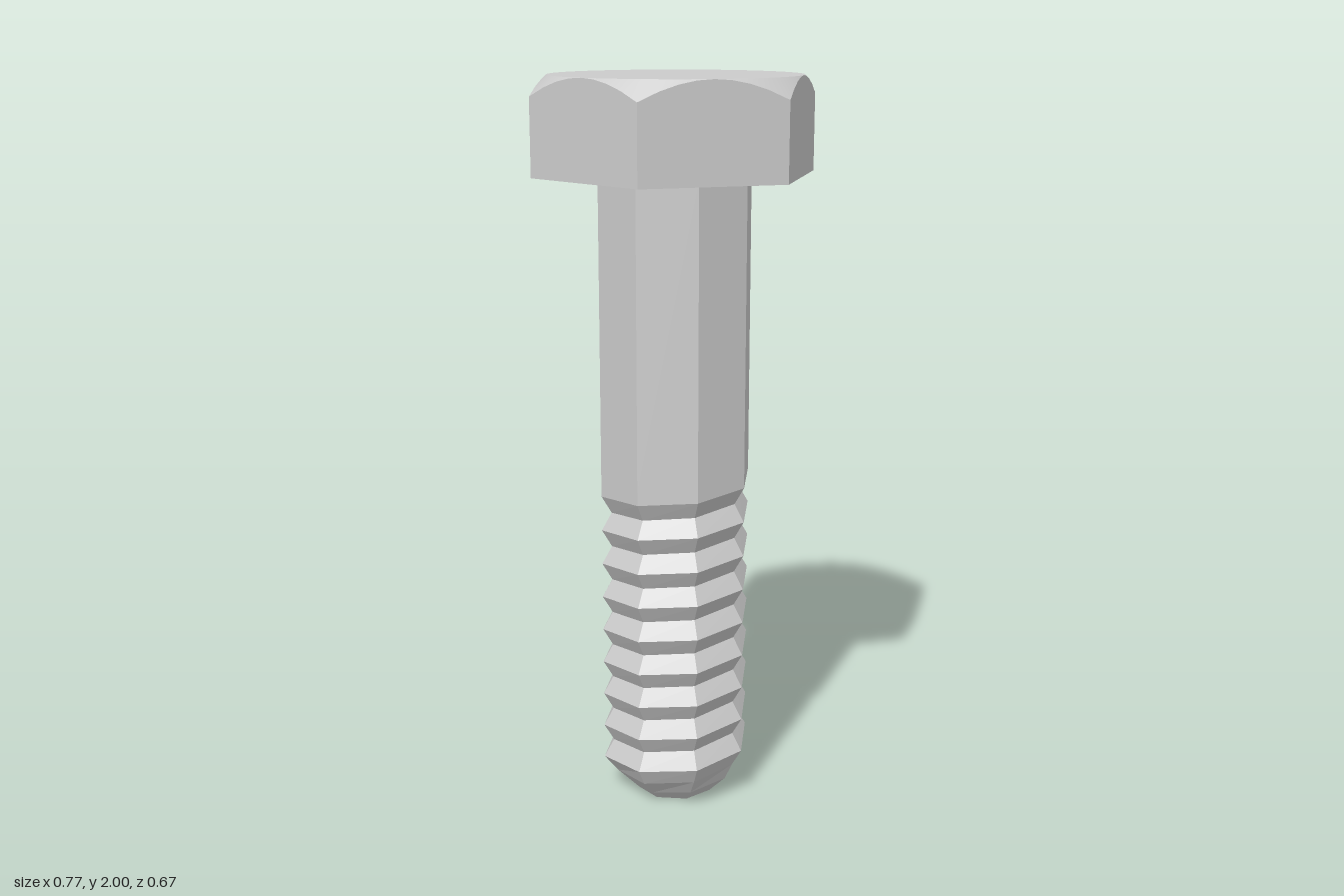
import * as THREE from 'three';
import { toCreasedNormals } from 'three/addons/utils/BufferGeometryUtils.js';

const SIDES = 8;        // shank facets
const R = 0.21;         // shank and crest radius
const ROOT = 0.182;     // thread root radius
const PITCH = 0.0965;
const TIP = 0.11;       // radius of the flat tip
const THREAD_TOP = 0.89;
const HEAD_Y = 1.745;
const FLAT = 0.333;     // half the width across the flats

// Grid of quads from point(col, row); collapsed triangles are skipped
function surface(cols, rows, point) {
  const pos = [];
  const tri = (a, b, c) => {
    const n = b.clone().sub(a).cross(c.clone().sub(a));
    if (n.length() > 1e-8) for (const p of [a, b, c]) pos.push(p.x, p.y, p.z);
  };
  for (let i = 0; i < cols; i++) {
    for (let j = 0; j < rows; j++) {
      const a = point(i, j), b = point(i + 1, j);
      const c = point(i + 1, j + 1), d = point(i, j + 1);
      tri(a, b, c);
      tri(a, c, d);
    }
  }
  const geo = new THREE.BufferGeometry();
  geo.setAttribute('position', new THREE.Float32BufferAttribute(pos, 3));
  geo.computeVertexNormals();
  return geo;
}

// Angle runs from -x through the front (+z) to +x
const polar = (angle, r, y) =>
  new THREE.Vector3(-r * Math.cos(angle), y, r * Math.sin(angle));

export function createModel() {
  const group = new THREE.Group();
  const flat = new THREE.MeshStandardMaterial({ color: 0xcccccc, flatShading: true });
  const smooth = new THREE.MeshStandardMaterial({ color: 0xcccccc });
  const add = (name, geo, mat) => {
    const mesh = new THREE.Mesh(geo, mat);
    mesh.name = name;
    group.add(mesh);
    return mesh;
  };

  // Helical thread: rows alternate crest and root, climbing one pitch per turn.
  // The lower end is cut by the tip's cone, the upper end runs out into the shank.
  const runout = THREAD_TOP + 0.04;
  add('thread', surface(SIDES, 26, (k, j) => {
    const y = THREE.MathUtils.clamp(TIP + (j / 2 - 3 + k / SIDES) * PITCH, 0, runout);
    const r = y > THREAD_TOP || j % 2 === 0 ? R : ROOT;
    return polar(k / SIDES * Math.PI * 2, Math.min(r, TIP + y), y);
  }), flat);

  // Plain shank
  add('shank', surface(SIDES, 1, (k, j) =>
    polar(k / SIDES * Math.PI * 2, R, j ? HEAD_Y : runout)), flat);

  // Flat end of the tip
  add('tip', new THREE.CircleGeometry(TIP, SIDES).rotateX(Math.PI / 2), flat);

  // Hexagonal head with a conical chamfer, and a round opening below for the shank
  const STEPS = 48, sector = Math.PI / 3;
  const head = surface(STEPS, 4, (i, j) => {
    const angle = i / STEPS * Math.PI * 2;
    const hex = FLAT / Math.cos(angle % sector - sector / 2);
    const [r, y] = [
      [R, HEAD_Y],
      [hex, HEAD_Y],
      [hex, 2 - (hex - FLAT)],
      [FLAT, 2],
      [0, 2],
    ][j];
    return polar(angle, r, y);
  });
  add('head', toCreasedNormals(head, 0.5), smooth);

  return group;
}
